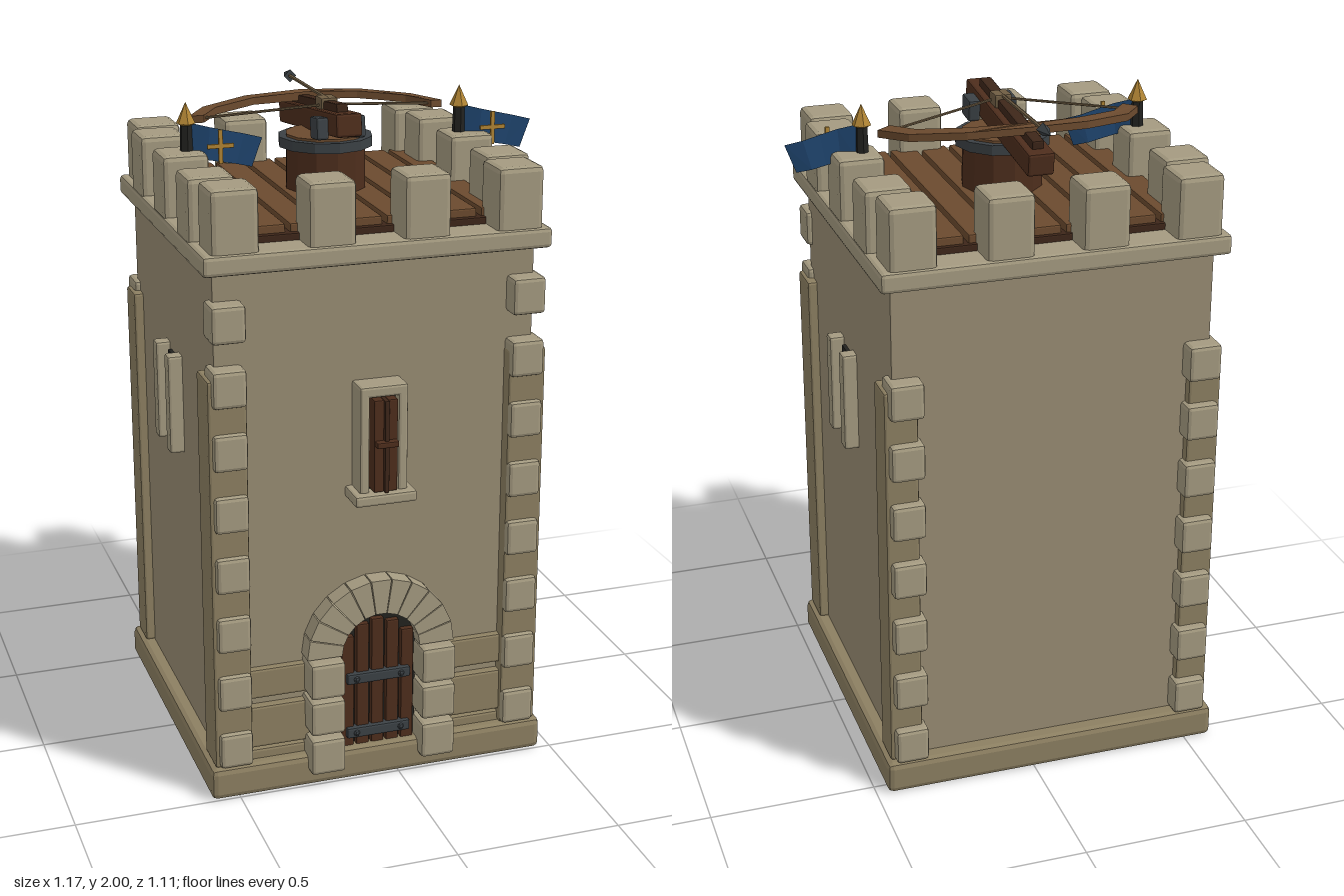
import * as THREE from 'three';
import { RoundedBoxGeometry } from 'three/addons/geometries/RoundedBoxGeometry.js';

const mat = (color, side = THREE.FrontSide) => new THREE.MeshStandardMaterial({ color, flatShading: true, side });
const WALL = mat(0x988c73), STONE = mat(0xa49a80), COURSE = mat(0x8c7f61), WOOD = mat(0x6b4a2e),
  DARKWOOD = mat(0x3d2619), DOOR = mat(0x4d2d1c), IRON = mat(0x3b4145), BLACK = mat(0x22221f),
  GOLD = mat(0xb08434), STRING = mat(0x6f5d43), BLUE = mat(0x1f456f, THREE.DoubleSide);

export function createModel() {
  const model = new THREE.Group();
  const tower = new THREE.Group();
  tower.name = 'tower';
  tower.position.set(-0.06, 0, -0.025);
  model.add(tower);

  const add = (name, geometry, material, x = 0, y = 0, z = 0, parent = tower) => {
    const mesh = new THREE.Mesh(geometry, material);
    mesh.name = name;
    mesh.position.set(x, y, z);
    parent.add(mesh);
    return mesh;
  };
  // Chamfered box given by its extents on each axis
  const block = (name, material, [x0, x1], [y0, y1], [z0, z1], bevel = 0.01, parent = tower) => {
    const w = x1 - x0, h = y1 - y0, d = z1 - z0;
    const r = Math.min(bevel, w / 3, h / 3, d / 3);
    return add(name, new RoundedBoxGeometry(w, h, d, 1, r), material,
      (x0 + x1) / 2, (y0 + y1) / 2, (z0 + z1) / 2, parent);
  };
  const around = (c, size) => [c - size / 2, c + size / 2];
  const mirrored = (s, a, b) => (s > 0 ? [a, b] : [-b, -a]);
  const rod = (name, a, b, radius, material) => {
    const line = new THREE.LineCurve3(new THREE.Vector3(...a), new THREE.Vector3(...b));
    return add(name, new THREE.TubeGeometry(line, 1, radius, 6), material);
  };

  // Walls, plinth and cornice
  block('base', COURSE, [-0.526, 0.526], [0, 0.1], [-0.526, 0.526], 0.018);
  block('walls', WALL, [-0.48, 0.48], [0.08, 1.63], [-0.475, 0.47], 0.004);
  block('cornice', STONE, [-0.516, 0.516], [1.61, 1.67], [-0.52, 0.52], 0.012);

  // Corner strips and quoins
  for (const s of [-1, 1]) {
    block('frontCornerStrip', COURSE, mirrored(s, 0.395, 0.51), [0.1, 1.31], [0.39, 0.51], 0.008);
    block('backCornerStrip', COURSE, mirrored(s, 0.41, 0.51), [0.1, 1.31], [-0.5, -0.395], 0.008);
    for (let i = 0; i < 8; i++) {
      const y = 0.157 + 0.188 * i;
      block('frontQuoin', STONE, mirrored(s, 0.397, 0.498), around(y, 0.11), [0.43, 0.528], 0.012);
      if (i < 7) block('backQuoin', STONE, mirrored(s, 0.397, 0.498), around(y, 0.11), [-0.53, -0.43], 0.012);
    }
    // Low stone courses beside the door
    block('wallCourse', COURSE, mirrored(s, 0.2, 0.41), [0.3, 0.395], [0.44, 0.492], 0.008);
    block('wallCourse', COURSE, mirrored(s, 0.2, 0.41), [0.14, 0.275], [0.44, 0.496], 0.008);
    block('wallCourse', COURSE, mirrored(s, 0.2, 0.41), [0.09, 0.13], [0.44, 0.488], 0.008);
  }

  // Battlements
  const merlon = (x, z) => block('merlon', STONE, around(x, 0.14), [1.655, 1.85], around(z, 0.14), 0.016);
  for (const s of [-1, 1]) {
    for (const x of [-0.42, -0.14, 0.14, 0.42]) merlon(x, s * 0.44);
    for (const z of [-0.28, 0, 0.28]) merlon(s * 0.443, z);
  }

  // Roof deck
  block('deckBeams', DARKWOOD, [-0.425, 0.425], [1.65, 1.69], [-0.418, 0.418], 0.004);
  for (let i = -4; i <= 4; i++)
    block('deckPlank', WOOD, around(i * 0.0955, 0.082), [1.685, 1.714], [-0.405, 0.4], 0.005);

  // Arched doorway
  const opening = new THREE.Shape();
  opening.moveTo(-0.125, 0.09).lineTo(0.125, 0.09).lineTo(0.125, 0.42);
  opening.absarc(0, 0.42, 0.125, 0, Math.PI, false);
  opening.closePath();
  add('doorway', new THREE.ExtrudeGeometry(opening, { depth: 0.04, bevelEnabled: false, curveSegments: 12 }), BLACK, 0, 0, 0.44);
  for (let i = -2; i <= 2; i++)
    block('doorPlank', DOOR, around(i * 0.047, 0.04), [0.095, 0.51 - 0.012 * i * i], [0.46, 0.498], 0.005);
  for (const y of [0.145, 0.325]) {
    block('doorBand', IRON, around(0, 0.2), around(y, 0.034), [0.48, 0.512], 0.006);
    for (const x of [-0.07, 0.07])
      add('doorStud', new THREE.SphereGeometry(0.01, 6, 4), IRON, x, y, 0.512);
  }
  const stones = 11;
  for (let i = 0; i < stones; i++) {
    const a0 = Math.PI * i / stones + 0.008, a1 = Math.PI * (i + 1) / stones - 0.008;
    const wedge = new THREE.Shape();
    [[0.122, a0], [0.23, a0], [0.23, a1], [0.122, a1]].forEach(([r, a], k) =>
      wedge[k ? 'lineTo' : 'moveTo'](r * Math.cos(a), r * Math.sin(a)));
    wedge.closePath();
    add('archStone', new THREE.ExtrudeGeometry(wedge, { depth: 0.085, bevelEnabled: false }), STONE, 0, 0.418, 0.445);
  }
  for (const s of [-1, 1])
    for (const [y0, y1] of [[0.05, 0.165], [0.18, 0.29], [0.3, 0.415]])
      block('doorJamb', STONE, mirrored(s, 0.12, 0.228), [y0, y1], [0.45, 0.562], 0.012);

  // Front window with shutter bars
  block('windowOpening', BLACK, around(0, 0.1), [0.935, 1.235], [0.45, 0.515], 0.004);
  for (const s of [-1, 1])
    block('windowJamb', STONE, mirrored(s, 0.043, 0.073), [0.93, 1.255], [0.45, 0.545], 0.008);
  block('windowLintel', STONE, around(0, 0.146), [1.223, 1.257], [0.45, 0.545], 0.008);
  block('windowSill', STONE, around(0, 0.188), [0.902, 0.936], [0.45, 0.57], 0.008);
  for (const x of [-0.021, 0.021])
    block('windowPanel', DOOR, around(x, 0.03), [0.94, 1.22], [0.49, 0.56], 0.004);
  block('windowMullion', DARKWOOD, around(0, 0.014), [0.94, 1.22], [0.49, 0.572], 0.003);
  block('windowCrossbar', DOOR, around(0, 0.066), around(1.09, 0.018), [0.5, 0.582], 0.004);

  // Arrow slits on both sides
  for (const s of [-1, 1]) {
    block('arrowSlit', BLACK, mirrored(s, 0.45, 0.492), [0.97, 1.24], around(0.006, 0.07), 0.003);
    for (const z of [-0.068, 0.08])
      block('slitTrim', STONE, mirrored(s, 0.45, 0.524), [0.952, 1.258], around(z, 0.047), 0.008);
  }

  // Ballista mount
  add('mountDrum', new THREE.CylinderGeometry(0.12, 0.122, 0.16, 12), DOOR, 0, 1.77);
  add('mountRing', new THREE.CylinderGeometry(0.142, 0.142, 0.03, 12), IRON, 0, 1.855);
  add('mountTop', new THREE.CylinderGeometry(0.12, 0.12, 0.015, 12), WOOD, 0, 1.87);

  // Tilted stock
  const stock = new THREE.Group();
  stock.name = 'ballistaStock';
  stock.position.set(0, 1.907, -0.06);
  stock.rotation.x = -0.115;
  tower.add(stock);
  block('stockBeam', DOOR, around(0, 0.08), [-0.034, 0.034], [-0.29, 0.29], 0.008, stock);
  block('stockRail', DARKWOOD, around(0, 0.036), [0.03, 0.058], [-0.255, 0.23], 0.005, stock);
  for (const s of [-1, 1])
    block('stockBracket', IRON, mirrored(s, 0.038, 0.075), [-0.045, 0.02], [0.145, 0.215], 0.007, stock);

  // Bow limbs, cut flat from a curved outline
  const outer = [[0, -0.255], [0.18, -0.235], [0.33, -0.165], [0.397, -0.075]];
  const inner = [[0.355, -0.055], [0.3, -0.13], [0.165, -0.192], [0, -0.212]];
  const half = [...outer, ...inner];
  const outline = [...half, ...half.slice(1, -1).reverse().map(([x, z]) => [-x, z])];
  const bowShape = new THREE.Shape(outline.map(([x, z]) => new THREE.Vector2(x, -z)));
  const bow = new THREE.ExtrudeGeometry(bowShape, { depth: 0.022, bevelEnabled: false });
  bow.rotateX(-Math.PI / 2);
  const bp = bow.attributes.position;
  for (let i = 0; i < bp.count; i++) bp.setY(i, bp.getY(i) - 0.15 * bp.getX(i) ** 2);
  add('bow', bow, WOOD, 0, 1.935);
  for (const s of [-1, 1])
    rod('bowString', [s * 0.375, 1.925, -0.075], [0, 1.965, 0.03], 0.004, STRING);
  block('stringBlock', STRING, around(0, 0.052), [1.945, 1.985], [-0.015, 0.042], 0.005);

  // Bolt pointing to the back
  rod('boltShaft', [0, 1.98, 0.03], [0, 1.98, -0.37], 0.006, STRING);
  add('boltHead', new THREE.ConeGeometry(0.02, 0.065, 4), IRON, 0, 1.98, -0.387).rotation.x = -Math.PI / 2;

  // Pennants on the side battlements
  const cloth = new THREE.PlaneGeometry(1, 1, 4, 1);
  const cp = cloth.attributes.position;
  for (let i = 0; i < cp.count; i++) {
    const u = cp.getX(i) + 0.5, v = cp.getY(i) + 0.5;
    cp.setXYZ(i, 0.015 + u * (0.173 + 0.032 * v), 1.83 + 0.1 * v - u * (0.035 + 0.015 * v),
      0.005 + 0.03 * u + 0.008 * Math.sin(u * 6));
  }
  for (const s of [-1, 1]) {
    const flag = new THREE.Group();
    flag.name = 'pennant';
    flag.position.x = s * 0.424;
    tower.add(flag);
    add('pole', new THREE.CylinderGeometry(0.017, 0.02, 0.09, 6), BLACK, 0, 1.885, 0, flag);
    add('finial', new THREE.ConeGeometry(0.029, 0.062, 6), GOLD, 0, 1.961, 0, flag);
    add('finialBase', new THREE.ConeGeometry(0.029, 0.015, 6), GOLD, 0, 1.923, 0, flag).rotation.x = Math.PI;
    add('cloth', cloth, BLUE, 0, 0, 0, flag);
    block('crossUpright', GOLD, around(0.088, 0.013), around(1.866, 0.1), [0.05, 0.06], 0.002, flag);
    block('crossArm', GOLD, around(0.088, 0.08), around(1.868, 0.013), [0.05, 0.06], 0.002, flag);
  }
  return model;
}
